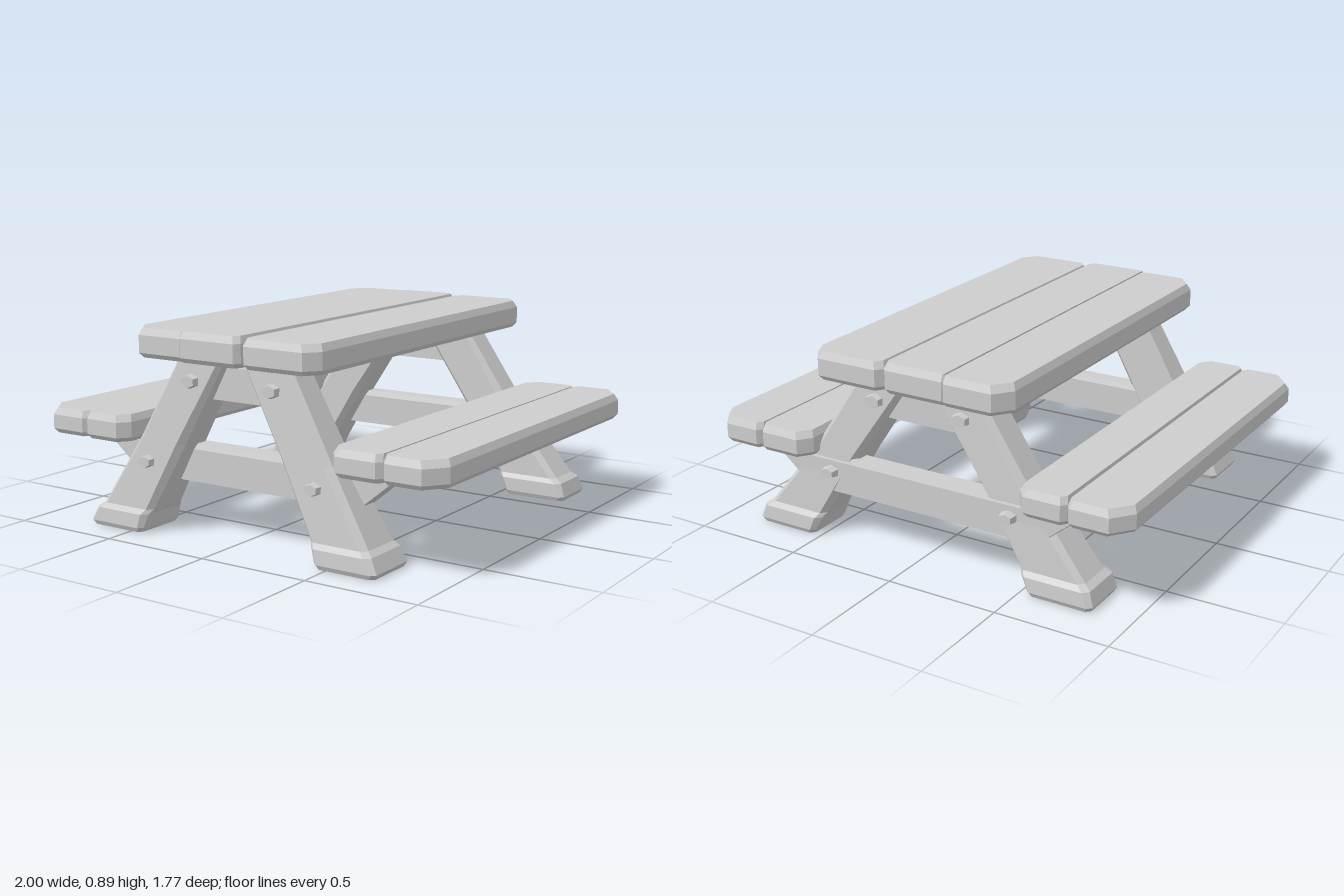
import * as THREE from 'three';

const wood = new THREE.MeshStandardMaterial({ color: 0xcccccc, flatShading: true });
wood.name = 'grey wood';

// Horizontal rectangle with cut corners, counterclockwise from above
function ring(y, x0, x1, z0, z1, cL = 0.02, cR = cL, zCut = 1) {
  const l = cL * zCut, r = cR * zCut;
  return [
    [x0 + cL, y, z1], [x1 - cR, y, z1], [x1, y, z1 - r], [x1, y, z0 + r],
    [x1 - cR, y, z0], [x0 + cL, y, z0], [x0, y, z0 + l], [x0, y, z1 - l],
  ];
}

// Closed solid through a stack of rings, bottom to top
function loft(name, rings) {
  const n = rings[0].length, idx = [];
  for (let k = 0; k < rings.length - 1; k++) {
    for (let i = 0; i < n; i++) {
      const a = k * n + i, b = k * n + (i + 1) % n;
      idx.push(a, b, b + n, a, b + n, a + n);
    }
  }
  const top = (rings.length - 1) * n;
  for (let i = 1; i < n - 1; i++) {
    idx.push(0, i + 1, i, top, top + i, top + i + 1);
  }
  const geo = new THREE.BufferGeometry();
  geo.setAttribute('position', new THREE.Float32BufferAttribute(rings.flat(2), 3));
  geo.setIndex(idx);
  const flat = geo.toNonIndexed();
  flat.computeVertexNormals();
  const mesh = new THREE.Mesh(flat, wood);
  mesh.name = name;
  return mesh;
}

// Plank with its own corner cut (c) and edge bevel (b) on each long side
function plank(name, x0, x1, y0, y1, z0, z1, cL, cR, bL, bR) {
  const e = 0.015;
  return loft(name, [
    ring(y0, x0 + bL, x1 - bR, z0 + e, z1 - e, cL, cR, 1.3),
    ring(y0 + 0.02, x0, x1, z0, z1, cL, cR, 1.3),
    ring(y1 - 0.03, x0, x1, z0, z1, cL, cR, 1.3),
    ring(y1, x0 + bL, x1 - bR, z0 + e, z1 - e, cL, cR, 1.3),
  ]);
}

// Leaning leg with a slightly wider foot; levels are [y, inner x, outer x, inner z, outer z, cut]
function leg(name, sx, sz, levels) {
  return loft(name, levels.map(([y, xi, xo, zi, zo, c]) => ring(
    y, Math.min(sx * xi, sx * xo), Math.max(sx * xi, sx * xo),
    Math.min(sz * zi, sz * zo), Math.max(sz * zi, sz * zo), c)));
}

// Rough peg head on the outer face of a leg
function peg(name, x, y, z, r) {
  const geo = new THREE.CylinderGeometry(r * 0.7, r, 0.06, 6);
  geo.rotateX(Math.sign(z) * Math.PI / 2);
  const mesh = new THREE.Mesh(geo, wood);
  mesh.position.set(x, y, z);
  mesh.scale.y = 0.75;
  mesh.name = name;
  return mesh;
}

export function createModel() {
  const model = new THREE.Group();
  model.name = 'picnicTable';

  // Table top
  model.add(
    plank('tablePlankRight', -0.48, -0.196, 0.757, 0.882, -0.885, 0.87, 0.06, 0.006, 0.015, 0.002),
    plank('tablePlankMiddle', -0.196, 0.098, 0.757, 0.886, -0.88, 0.882, 0.006, 0.02, 0.002, 0.012),
    plank('tablePlankLeft', 0.1, 0.456, 0.757, 0.88, -0.885, 0.875, 0.025, 0.05, 0.012, 0.015),
  );

  // Benches
  model.add(
    plank('benchPlankRightOuter', -1, -0.742, 0.378, 0.49, -0.885, 0.865, 0.07, 0.02, 0.015, 0.008),
    plank('benchPlankRightInner', -0.745, -0.52, 0.378, 0.495, -0.89, 0.872, 0.02, 0.04, 0.008, 0.015),
    plank('benchPlankLeftInner', 0.5, 0.746, 0.378, 0.492, -0.885, 0.86, 0.045, 0.02, 0.015, 0.006),
    plank('benchPlankLeftOuter', 0.744, 0.995, 0.378, 0.492, -0.885, 0.855, 0.02, 0.07, 0.006, 0.015),
  );

  // Legs
  const frontLevels = [
    [0, 0.45, 0.72, 0.615, 0.86, 0.02],
    [0.02, 0.44, 0.73, 0.605, 0.87, 0.02],
    [0.08, 0.42, 0.70, 0.605, 0.865, 0.025],
    [0.1, 0.405, 0.675, 0.62, 0.845, 0.025],
    [0.4, 0.245, 0.49, 0.625, 0.82, 0.03],
    [0.77, 0.045, 0.28, 0.635, 0.79, 0.02],
  ];
  const backLevels = [
    [0, 0.54, 0.82, 0.59, 0.815, 0.02],
    [0.02, 0.53, 0.83, 0.58, 0.825, 0.02],
    [0.08, 0.5, 0.81, 0.58, 0.82, 0.025],
    [0.1, 0.485, 0.78, 0.595, 0.8, 0.025],
    [0.4, 0.3, 0.54, 0.6, 0.785, 0.03],
    [0.77, 0.05, 0.29, 0.605, 0.765, 0.02],
  ];
  for (const [sx, side] of [[1, 'Left'], [-1, 'Right']]) {
    model.add(leg('frontLeg' + side, sx, 1, frontLevels));
    model.add(leg('backLeg' + side, sx, -1, backLevels));
    model.add(peg('frontUpperPeg' + side, sx * 0.205, 0.67, 0.795, 0.05));
    model.add(peg('frontLowerPeg' + side, sx * 0.425, 0.31, 0.825, 0.045));
    model.add(peg('backUpperPeg' + side, sx * 0.21, 0.67, -0.765, 0.05));
    model.add(peg('backLowerPeg' + side, sx * 0.44, 0.31, -0.795, 0.045));
  }

  // Bench beams with sloping ends, and short beams under the top
  for (const [end, z0, z1, t0, t1] of [
    ['front', 0.63, 0.715, 0.65, 0.735], ['back', -0.79, -0.705, -0.735, -0.65]]) {
    model.add(loft(end + 'BenchBeam', [
      ring(0.22, -0.57, 0.56, z0, z1, 0.005),
      ring(0.36, -0.74, 0.73, z0, z1, 0.005),
      ring(0.385, -0.76, 0.75, z0 + 0.01, z1 - 0.01, 0.005),
    ]));
    model.add(loft(end + 'TopBeam', [
      ring(0.59, -0.27, 0.27, t0, t1, 0.005),
      ring(0.73, -0.2, 0.2, t0, t1, 0.005),
    ]));
  }
  return model;
}
